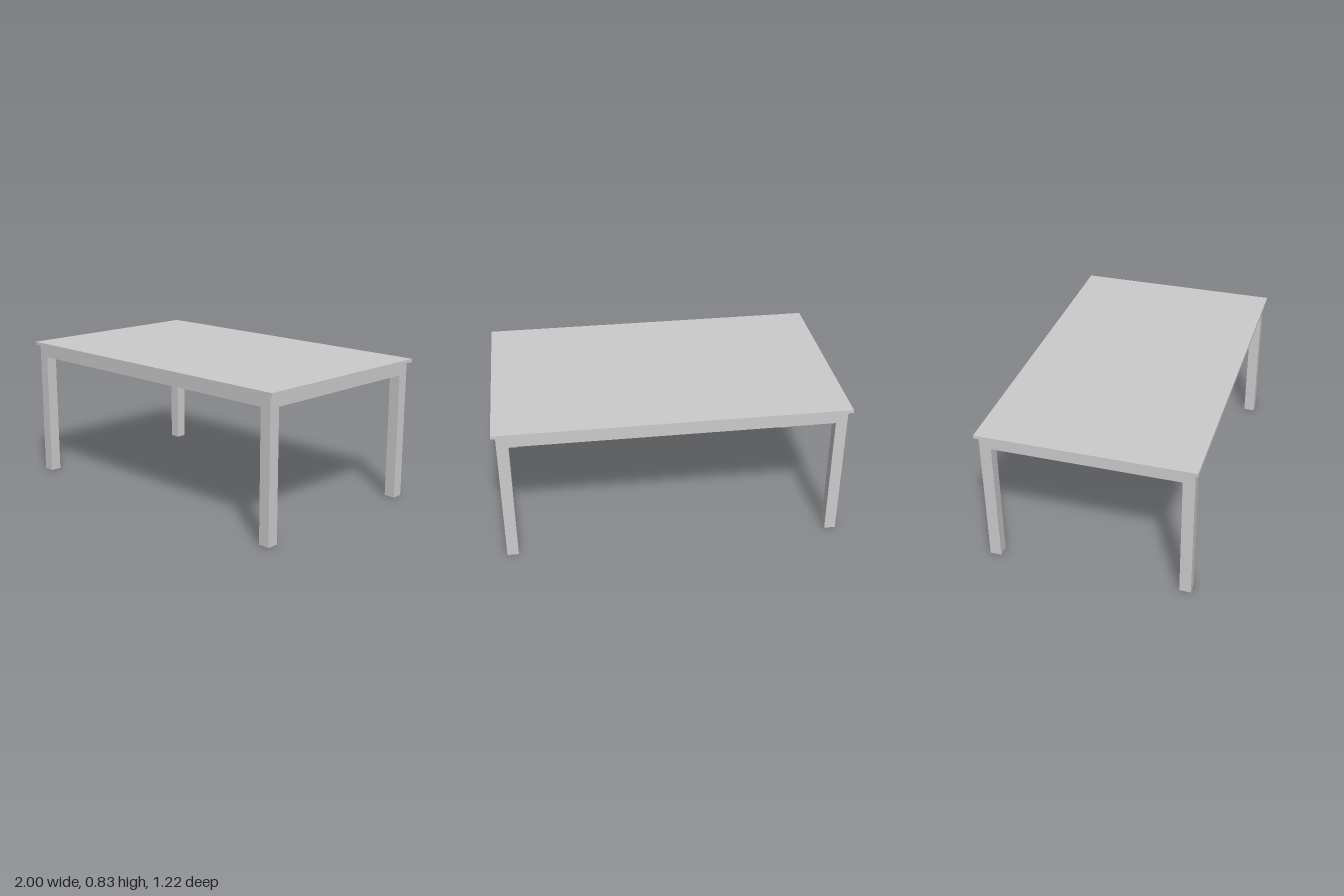
import * as THREE from 'three';

const TOP_Y = 0.835, SLAB_Y = 0.816, RAIL_Y = 0.746;
const OUT_X = 0.976, OUT_Z = 0.592, LEG = 0.066;

function rectangle(PathType, hx, hz) {
  return new PathType([[-hx, -hz], [hx, -hz], [hx, hz], [-hx, hz]].map(([x, z]) => new THREE.Vector2(x, z)));
}

export function createModel() {
  const table = new THREE.Group();
  table.name = 'table';
  const material = new THREE.MeshStandardMaterial({ color: 0xcccccc, flatShading: true });
  const hollow = new THREE.MeshStandardMaterial({ color: 0xcccccc, flatShading: true, side: THREE.DoubleSide });

  const add = (name, geometry, mat = material) => {
    const mesh = new THREE.Mesh(geometry, mat);
    mesh.name = name;
    table.add(mesh);
    return mesh;
  };

  // Thin slab overhanging the frame
  add('tabletop', new THREE.BoxGeometry(2, TOP_Y - SLAB_Y, 1.22)).position.y = (TOP_Y + SLAB_Y) / 2;

  // Four apron rails as one rectangular ring, as wide as the legs
  const ring = rectangle(THREE.Shape, OUT_X, OUT_Z);
  ring.holes.push(rectangle(THREE.Path, OUT_X - LEG, OUT_Z - LEG));
  const apron = new THREE.ExtrudeGeometry(ring, { depth: SLAB_Y - RAIL_Y, bevelEnabled: false });
  apron.rotateX(-Math.PI / 2);
  add('apron', apron).position.y = RAIL_Y;

  // Square tube legs, open at the foot
  const leg = new THREE.CylinderGeometry(LEG / Math.SQRT2, LEG / Math.SQRT2, RAIL_Y, 4, 1, true);
  leg.rotateY(Math.PI / 4);
  for (const [sideX, sx] of [['Left', 1], ['Right', -1]]) {
    for (const [sideZ, sz] of [['front', 1], ['back', -1]]) {
      add(`${sideZ}${sideX}Leg`, leg, hollow)
        .position.set(sx * (OUT_X - LEG / 2), RAIL_Y / 2, sz * (OUT_Z - LEG / 2));
    }
  }
  return table;
}
